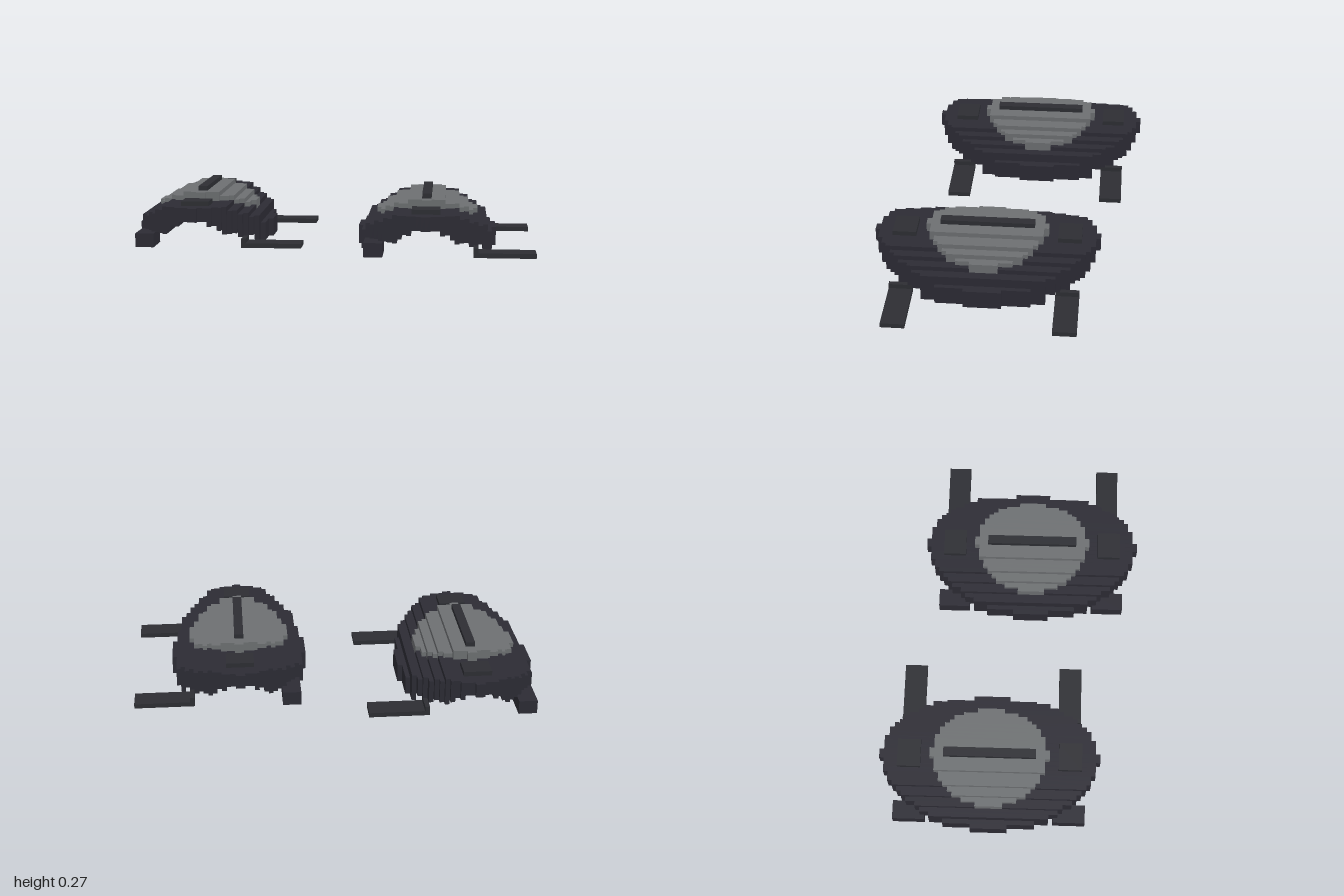
import * as THREE from 'three';
import { mergeGeometries } from 'three/addons/utils/BufferGeometryUtils.js';

const V = 1 / 44; // size of one block unit

const dark = new THREE.MeshStandardMaterial({ color: 0x2c2b34 });
dark.name = 'darkShell';
const strapMat = new THREE.MeshStandardMaterial({ color: 0x2d2e33 });
strapMat.name = 'strapCharcoal';
const grey = new THREE.MeshStandardMaterial({ color: 0x6d7072 });
grey.name = 'plateGrey';

// Shell by block column outward from the middle: top, underside and half length
const shellTop = [9, 9, 9, 9, 9, 9, 9, 8, 8, 7, 7, 6, 6, 4, 4];
const shellBottom = [6, 6, 6, 5, 5, 4, 3, 3, 3, 2, 2, 2, 0, 0, 0];
const shellHalf = [24, 23, 23, 23, 22, 22, 21, 20, 19, 18, 16, 15, 13, 10, 4];
const plateTop = [11, 11, 11, 11, 10, 10, 10, 9, 9, 8, 8];
const plateHalf = (i) => Math.floor(13 * Math.sqrt(1 - ((i + 0.5) / 11) ** 2) + 0.1);

// Box between two corners, in block units
function block(x0, x1, y0, y1, z0, z1) {
  const g = new THREE.BoxGeometry((x1 - x0) * V, (y1 - y0) * V, (z1 - z0) * V);
  return g.translate((x0 + x1) * V / 2, (y0 + y1) * V / 2, (z0 + z1) * V / 2);
}

function part(name, boxes, material) {
  const mesh = new THREE.Mesh(mergeGeometries(boxes), material);
  mesh.name = name;
  return mesh;
}

function createPad() {
  const pad = new THREE.Group();
  const shell = [], plate = [];

  // Arched shell of lengthwise bars, with the grey plate inset on its crown
  for (let i = 0; i < 15; i++) {
    const h = shellHalf[i], top = shellTop[i], bottom = shellBottom[i];
    for (const x of [i, -i - 1]) {
      if (i >= plateTop.length) {
        shell.push(block(x, x + 1, bottom, top, -h, h));
        continue;
      }
      const p = plateHalf(i), seat = plateTop[i] - 2;
      shell.push(block(x, x + 1, bottom, seat, -h, h));
      plate.push(block(x, x + 1, seat, plateTop[i], -p, p));
      if (top > seat) {
        shell.push(block(x, x + 1, seat, top, p, h), block(x, x + 1, seat, top, -h, -p));
      }
    }
  }
  pad.add(part('shell', shell, dark), part('crownPlate', plate, grey));
  pad.add(part('centreRidge', [block(-1, 1, 11, 12, -10, 10)], strapMat));

  // Raised end pads, strap anchors and straps at both ends
  for (const [end, a] of [['front', 15], ['back', -20]]) {
    const b = a + 5;
    pad.add(part(end + 'RaisedPad', [block(-3, 3, 9, 10, a, b)], strapMat));
    pad.add(part(end + 'StrapAnchor', [block(-13, -9, 0, 3, a - 1, b + 1)], dark));
    pad.add(part(end + 'Strap', [block(10, 23, 0, 1, a, b), block(10, 11, 1, 2, a, b)], strapMat));
  }
  return pad;
}

export function createModel() {
  const model = new THREE.Group();
  model.name = 'pairOfKneePads';
  for (const [name, x, z] of [['rightPad', -29, -4], ['leftPad', 21, 4]]) {
    const pad = createPad();
    pad.name = name;
    pad.position.set(x * V, 0, z * V);
    model.add(pad);
  }
  return model;
}
